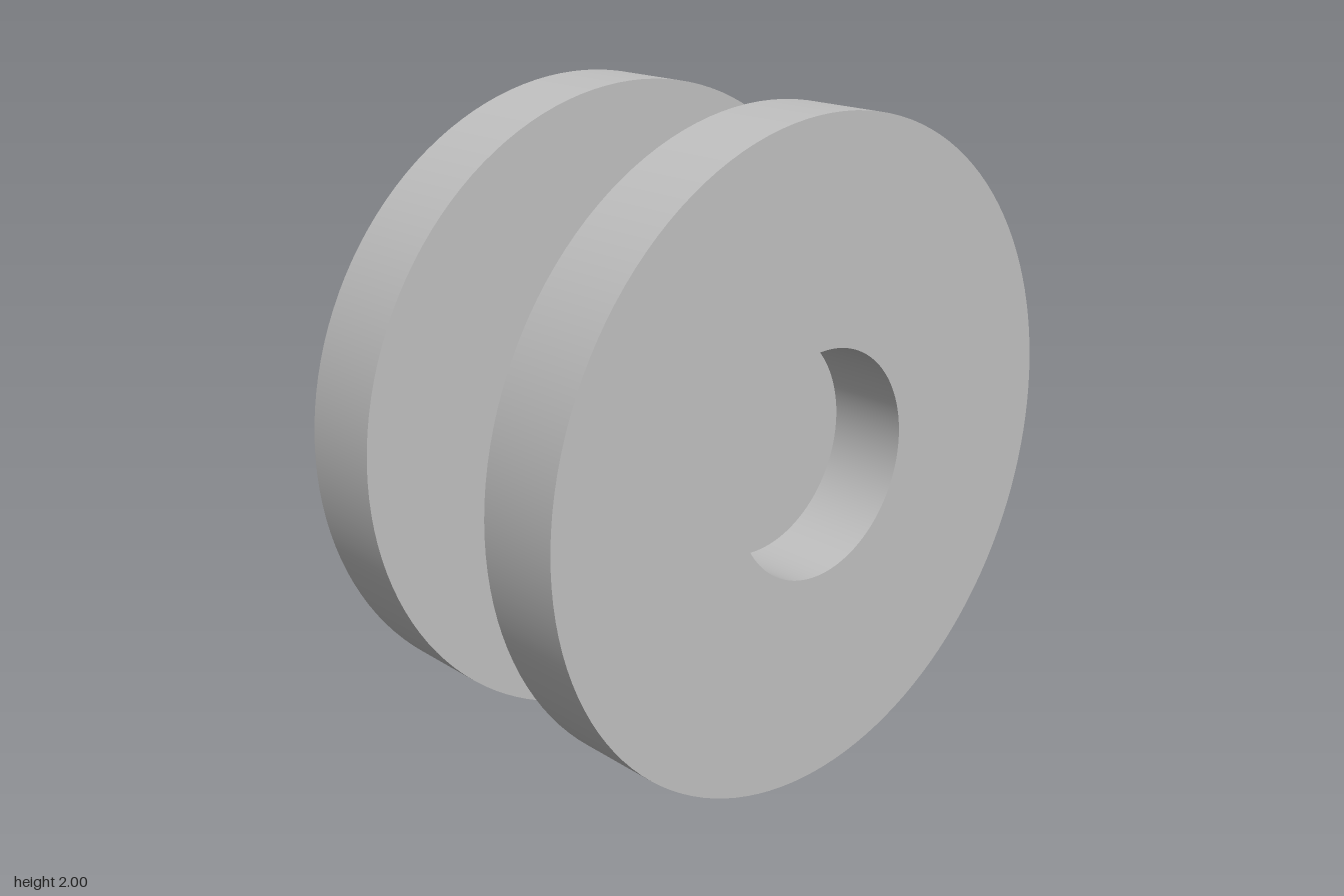
import * as THREE from 'three';
import { mergeGeometries } from 'three/addons/utils/BufferGeometryUtils.js';

const SEGMENTS = 128;
const RIM = 1, HUB = 0.474, BORE = 0.342;         // radii
const INNER = 0.263, OUTER = 0.526, FLOOR = 0.28; // distances from the middle along x

// Revolve a profile of [radius, x] points about the x axis, keeping its corners sharp
function turned(profile) {
  const bands = [];
  for (let i = 1; i < profile.length; i++) {
    const ends = [profile[i - 1], profile[i]].map(([r, x]) => new THREE.Vector2(r, x));
    bands.push(new THREE.LatheGeometry(ends, SEGMENTS));
  }
  return mergeGeometries(bands).rotateZ(-Math.PI / 2);
}

export function createModel() {
  const model = new THREE.Group();
  model.name = 'spool';
  const grey = new THREE.MeshStandardMaterial({ color: 0xc0c0c0 });
  grey.name = 'light grey';

  const add = (name, profile) => {
    const mesh = new THREE.Mesh(turned(profile), grey);
    mesh.name = name;
    mesh.position.y = RIM;
    model.add(mesh);
    return mesh;
  };

  // Central drum
  add('hub', [[HUB, -INNER], [HUB, INNER]]);

  // Thick end discs with a blind round recess in the outer face
  for (const side of ['left', 'right']) {
    const flange = add(side + 'Flange', [
      [HUB, INNER], [RIM, INNER], [RIM, OUTER], [BORE, OUTER], [BORE, FLOOR],
    ]);
    const floor = add(side + 'RecessFloor', [[BORE, FLOOR], [0, FLOOR]]);
    if (side === 'right') flange.rotation.y = floor.rotation.y = Math.PI;
  }
  return model;
}
